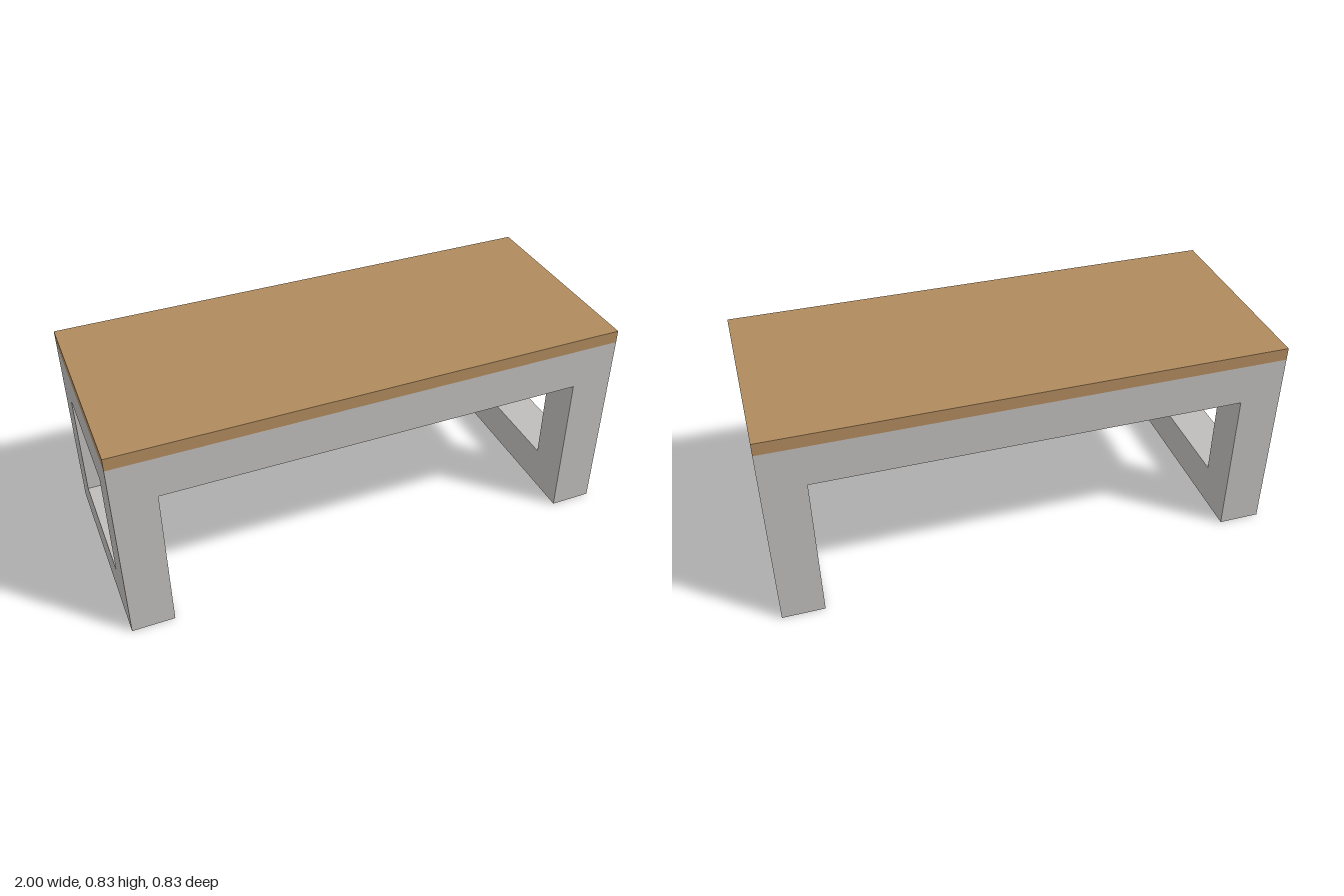
import * as THREE from 'three';

const HALF_L = 1;        // half length (x)
const HALF_D = 0.4165;   // half depth (z)
const HEIGHT = 0.833;
const TOP = 0.05;        // tabletop thickness
const BAR = 0.1665;      // frame bar thickness
const FRAME_H = HEIGHT - TOP;

export function createModel() {
  const wood = new THREE.MeshStandardMaterial({ color: 0xb08a5e });
  wood.name = 'wood';
  const grey = new THREE.MeshStandardMaterial({ color: 0xbfbdbb });
  grey.name = 'grey';

  const model = new THREE.Group();
  model.name = 'bench';

  const add = (name, geometry, material, x, y, z) => {
    const mesh = new THREE.Mesh(geometry, material);
    mesh.name = name;
    mesh.position.set(x, y, z);
    model.add(mesh);
  };

  // Wooden slab
  add('top', new THREE.BoxGeometry(2 * HALF_L, TOP, 2 * HALF_D), wood, 0, HEIGHT - TOP / 2, 0);

  // Square end frame with a window, extruded along x
  const rect = (Type, x0, y0, x1, y1) => {
    const path = new Type();
    path.moveTo(x0, y0).lineTo(x1, y0).lineTo(x1, y1).lineTo(x0, y1).closePath();
    return path;
  };
  const outline = rect(THREE.Shape, -HALF_D, 0, HALF_D, FRAME_H);
  outline.holes.push(rect(THREE.Path, BAR - HALF_D, BAR, HALF_D - BAR, FRAME_H - BAR));
  const frame = new THREE.ExtrudeGeometry(outline, { depth: BAR, bevelEnabled: false });
  frame.rotateY(Math.PI / 2);
  add('leftLegFrame', frame, grey, HALF_L - BAR, 0, 0);
  add('rightLegFrame', frame, grey, -HALF_L, 0, 0);

  // Long rails under the top, joining the end frames
  const rail = new THREE.BoxGeometry(2 * (HALF_L - BAR), BAR, BAR);
  for (const [name, side] of [['frontRail', 1], ['backRail', -1]]) {
    add(name, rail, grey, 0, FRAME_H - BAR / 2, side * (HALF_D - BAR / 2));
  }

  return model;
}
